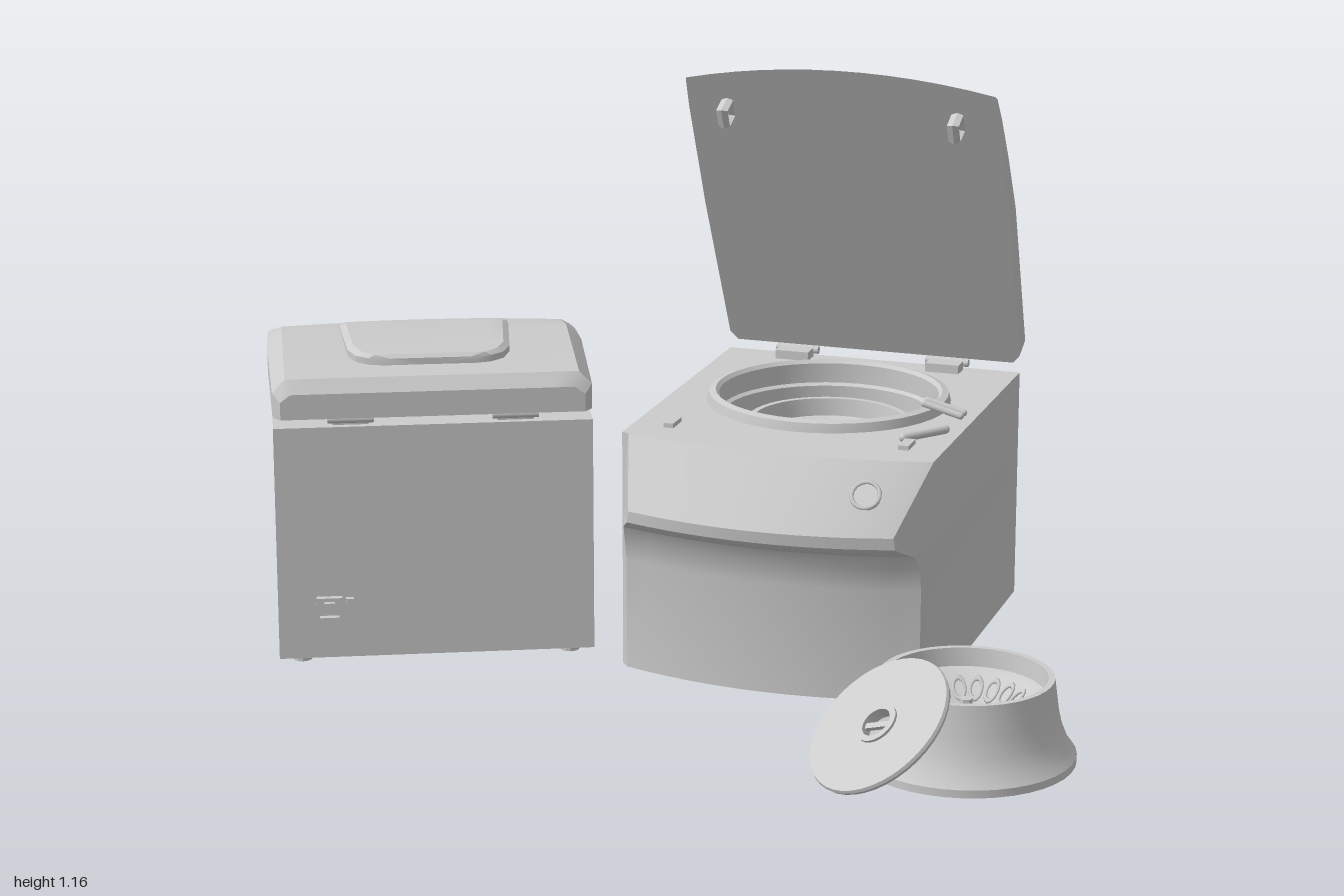
import * as THREE from 'three';
import { toCreasedNormals } from 'three/addons/utils/BufferGeometryUtils.js';

const material = new THREE.MeshStandardMaterial({ color: 0xcccccc, side: THREE.DoubleSide });

function add(parent, name, geometry, x = 0, y = 0, z = 0, rx = 0, ry = 0, rz = 0) {
  const mesh = new THREE.Mesh(geometry, material);
  mesh.name = name;
  mesh.position.set(x, y, z);
  mesh.rotation.set(rx, ry, rz);
  parent.add(mesh);
  return mesh;
}

const creased = (g, angle = 0.5) => toCreasedNormals(g, angle);
const box = (w, h, d) => new THREE.BoxGeometry(w, h, d);
const cyl = (r, h, n = 16) => new THREE.CylinderGeometry(r, r, h, n);
const lathe = (pts, n = 40) =>
  creased(new THREE.LatheGeometry(pts.map(p => new THREE.Vector2(...p)), n));

// Skin a list of closed rings of [x, y, z]; optionally fan-cap the first and last
function loft(rings, capStart, capEnd) {
  const pos = [];
  const n = rings[0].length;
  for (let i = 0; i + 1 < rings.length; i++) {
    for (let j = 0; j < n; j++) {
      const k = (j + 1) % n;
      const a = rings[i][j], b = rings[i][k], c = rings[i + 1][k], d = rings[i + 1][j];
      pos.push(...a, ...b, ...c, ...a, ...c, ...d);
    }
  }
  const cap = (ring, flip) => {
    const mid = [0, 1, 2].map(q => ring.reduce((s, p) => s + p[q], 0) / n);
    ring.forEach((p, j) => {
      const next = ring[(j + 1) % n];
      pos.push(...mid, ...(flip ? next : p), ...(flip ? p : next));
    });
  };
  if (capStart) cap(rings[0], true);
  if (capEnd) cap(rings[rings.length - 1], false);
  const g = new THREE.BufferGeometry();
  g.setAttribute('position', new THREE.Float32BufferAttribute(pos, 3));
  g.computeVertexNormals();
  return creased(g);
}

const HALF = 0.31, BACK = -0.42, STEPS = 12;

// Plan outline of the housing at one height: square back, chamfered and bowed front
function housingRing([y, hx, zSide, zCorner, zMid]) {
  const ring = [[HALF, y, zSide], [HALF, y, BACK], [-HALF, y, BACK], [-HALF, y, zSide]];
  for (let i = 0; i <= STEPS; i++) {
    const t = (2 * i) / STEPS - 1;
    ring.push([hx * t, y, zCorner + (zMid - zCorner) * (1 - t * t)]);
  }
  return ring;
}

// Lid cross-section at depth z from the hinge; the depth bows forward at the front
function lidRing([z, w, low, side, top, chamfer]) {
  const ring = [];
  const put = (x, y) => ring.push([x, y, z + 0.04 * (z / 0.665) * (1 - (x / 0.32) ** 2)]);
  for (let i = 0; i <= STEPS; i++) put(w * ((2 * i) / STEPS - 1), low);
  put(w, side);
  for (let i = 0; i <= STEPS; i++) put((w - chamfer) * (1 - (2 * i) / STEPS), top);
  put(-w, side);
  return ring;
}

function makeLid() {
  const lid = new THREE.Group();
  lid.name = 'lid';
  add(lid, 'lidShell', loft([
    [0, 0.295, 0, 0.035, 0.05, 0.02],
    [0.02, 0.31, 0, 0.05, 0.076, 0.025],
    [0.36, 0.318, 0, 0.05, 0.08, 0.03],
    [0.5, 0.318, 0, 0.035, 0.056, 0.03],
    [0.6, 0.318, 0, 0.018, 0.028, 0.025],
    [0.655, 0.316, 0, 0.008, 0.012, 0.01],
    [0.665, 0.315, 0, 0, 0, 0.005],
  ].map(lidRing), true, false));
  // Raised pad, rounded toward the hinge and fading out toward the front
  add(lid, 'lidPad', loft([
    [0.095, 0.09, 0.06, 0.085, 0.09, 0.01],
    [0.103, 0.12, 0.06, 0.09, 0.097, 0.012],
    [0.125, 0.145, 0.06, 0.09, 0.098, 0.012],
    [0.17, 0.16, 0.06, 0.09, 0.098, 0.012],
    [0.35, 0.17, 0.06, 0.085, 0.094, 0.012],
    [0.42, 0.173, 0.05, 0.074, 0.079, 0.012],
    [0.5, 0.175, 0.03, 0.054, 0.055, 0.012],
  ].map(lidRing), true, true));
  // Square latch loops
  for (const x of [-0.235, 0.235]) {
    add(lid, 'latchLoop', creased(new THREE.TorusGeometry(0.026, 0.006, 4, 4).rotateZ(Math.PI / 4)),
      x, -0.02, 0.6, 0, Math.PI / 2, 0).scale.z = 2;
  }
  return lid;
}

function makeRotor() {
  const rotor = new THREE.Group();
  rotor.name = 'rotor';
  add(rotor, 'rotorBowl', lathe([
    [0, 0], [0.205, 0], [0.205, 0.015], [0.19, 0.035], [0.178, 0.065], [0.17, 0.1], [0.162, 0.16],
    [0.15, 0.16], [0.146, 0.125], [0.128, 0.12], [0.075, 0.07], [0, 0.07],
  ]));
  add(rotor, 'rotorHub', creased(cyl(0.024, 0.03, 8)), 0, 0.085, 0);
  add(rotor, 'hubScrew', creased(cyl(0.012, 0.02, 6)), 0, 0.105, 0);
  // Tube slots around the sloping inner wall
  for (let i = 0; i < 20; i++) {
    const arm = new THREE.Group();
    arm.name = 'tubeSlot';
    arm.rotation.y = (i / 20) * Math.PI * 2;
    const rim = add(arm, 'slotRim', new THREE.TorusGeometry(0.011, 0.003, 6, 14),
      0.101, 0.098, 0, -Math.PI / 2, 0.75, 0);
    rim.rotation.order = 'ZYX';
    rim.rotation.set(-Math.PI / 2, 0, 0.75);
    rim.scale.x = 2;
    rotor.add(arm);
  }
  return rotor;
}

function makeCentrifuge(lidAngle) {
  const machine = new THREE.Group();
  machine.name = 'centrifuge';
  // Housing with a sloped control nose over a recessed lower front
  const rings = [
    [0.03, 0.295, 0.25, 0.27, 0.32],
    [0.25, 0.295, 0.25, 0.27, 0.32],
    [0.295, 0.295, 0.25, 0.28, 0.328],
    [0.325, 0.29, 0.25, 0.3, 0.345],
    [0.342, 0.275, 0.25, 0.335, 0.382],
    [0.352, 0.265, 0.25, 0.35, 0.392],
    [0.375, 0.262, 0.25, 0.352, 0.395],
    [0.5, 0.295, 0.25, 0.256, 0.295],
  ].map(housingRing);
  add(machine, 'housing', loft(rings, true, false));

  // Deck plate with the round chamber opening
  const deck = new THREE.Shape(rings[rings.length - 1].map(p => new THREE.Vector2(p[0], -p[2])));
  deck.holes.push(new THREE.Path().absarc(0, 0.1, 0.225, 0, Math.PI * 2, true));
  add(machine, 'deck', new THREE.ShapeGeometry(deck, 40), 0, 0.5, 0, -Math.PI / 2);
  add(machine, 'chamber', lathe([
    [0, 0.29], [0.21, 0.29], [0.21, 0.47], [0.218, 0.475], [0.218, 0.515], [0.225, 0.522],
    [0.238, 0.518], [0.242, 0.5],
  ]), 0, 0, -0.1);
  const rotor = makeRotor();
  rotor.position.set(0, 0.3, -0.1);
  machine.add(rotor);

  // Lid on its hinges
  const lid = makeLid();
  lid.position.set(0, 0.518, -0.425);
  lid.rotation.x = -lidAngle;
  machine.add(lid);
  for (const x of [-0.16, 0.16]) {
    add(machine, 'hingeBlock', box(0.07, 0.02, 0.04), x, 0.508, -0.385);
    add(machine, 'hingePin', cyl(0.008, 0.09), x, 0.513, -0.41, 0, 0, Math.PI / 2);
    add(machine, 'latchSlot', box(0.02, 0.012, 0.05), x * 1.47, 0.503, 0.17);
  }

  // Deck fittings beside the chamber
  add(machine, 'deckBar', new THREE.CapsuleGeometry(0.009, 0.1, 4, 10), 0.25, 0.508, 0.098,
    Math.PI / 2, 0, 0.65);
  for (const z of [-0.04, -0.015]) {
    add(machine, 'deckRod', new THREE.CapsuleGeometry(0.007, 0.075, 4, 10), 0.255, 0.525, z,
      0, 0, Math.PI / 2 - 0.25);
  }

  // Button on the sloped panel
  add(machine, 'button', creased(cyl(0.027, 0.012, 20)), 0.2, 0.442, 0.321, 0.85, 0, 0);
  add(machine, 'buttonRim', new THREE.TorusGeometry(0.027, 0.004, 6, 20), 0.2, 0.446, 0.326,
    0.85 - Math.PI / 2, 0, 0);

  // Power socket and switch at the back
  for (const s of [-1, 1]) {
    add(machine, 'socketSide', box(0.006, 0.045, 0.016), 0.21 + s * 0.022, 0.133, BACK - 0.006);
    add(machine, 'socketEdge', box(0.05, 0.006, 0.016), 0.21, 0.133 + s * 0.02, BACK - 0.006);
  }
  add(machine, 'socketCore', box(0.022, 0.022, 0.012), 0.21, 0.133, BACK - 0.004);
  add(machine, 'powerSwitch', box(0.015, 0.03, 0.014), 0.17, 0.138, BACK - 0.005);

  // Feet
  for (const x of [-0.265, 0.265]) for (const z of [-0.37, 0.19]) {
    add(machine, 'foot', creased(cyl(0.019, 0.01, 12)), x, 0.017, z);
    add(machine, 'footStem', creased(cyl(0.012, 0.012, 12)), x, 0.026, z);
  }
  return machine;
}

export function createModel() {
  const model = new THREE.Group();
  model.name = 'centrifugeSet';

  const open = makeCentrifuge(1.134);
  open.name = 'openCentrifuge';
  open.position.set(0.262, 0, -0.065);
  open.rotation.y = 0.245;
  const closed = makeCentrifuge(0);
  closed.name = 'closedCentrifuge';
  closed.position.set(-0.581, 0, 0.083);
  closed.rotation.y = -2.454;

  // Spare rotor with its lid leaning against it
  const spare = makeRotor();
  spare.name = 'spareRotor';
  spare.position.set(0.79, 0, 0.265);
  model.add(open, closed, spare);

  const cover = new THREE.Group();
  cover.name = 'rotorCover';
  add(cover, 'coverDisc', lathe([
    [0.038, -0.006], [0.148, -0.006], [0.15, 0], [0.148, 0.006], [0.038, 0.006], [0.038, -0.006],
  ]));
  add(cover, 'coverCollar', lathe([
    [0.03, -0.012], [0.042, -0.012], [0.042, 0.011], [0.03, 0.011], [0.03, -0.012],
  ], 24));
  add(cover, 'coverBridge', box(0.065, 0.008, 0.012));
  cover.position.set(0.727, 0.115, 0.475);
  cover.quaternion.setFromUnitVectors(new THREE.Vector3(0, 1, 0),
    new THREE.Vector3(-0.32, 0.745, 0.57).normalize());
  model.add(cover);
  return model;
}
